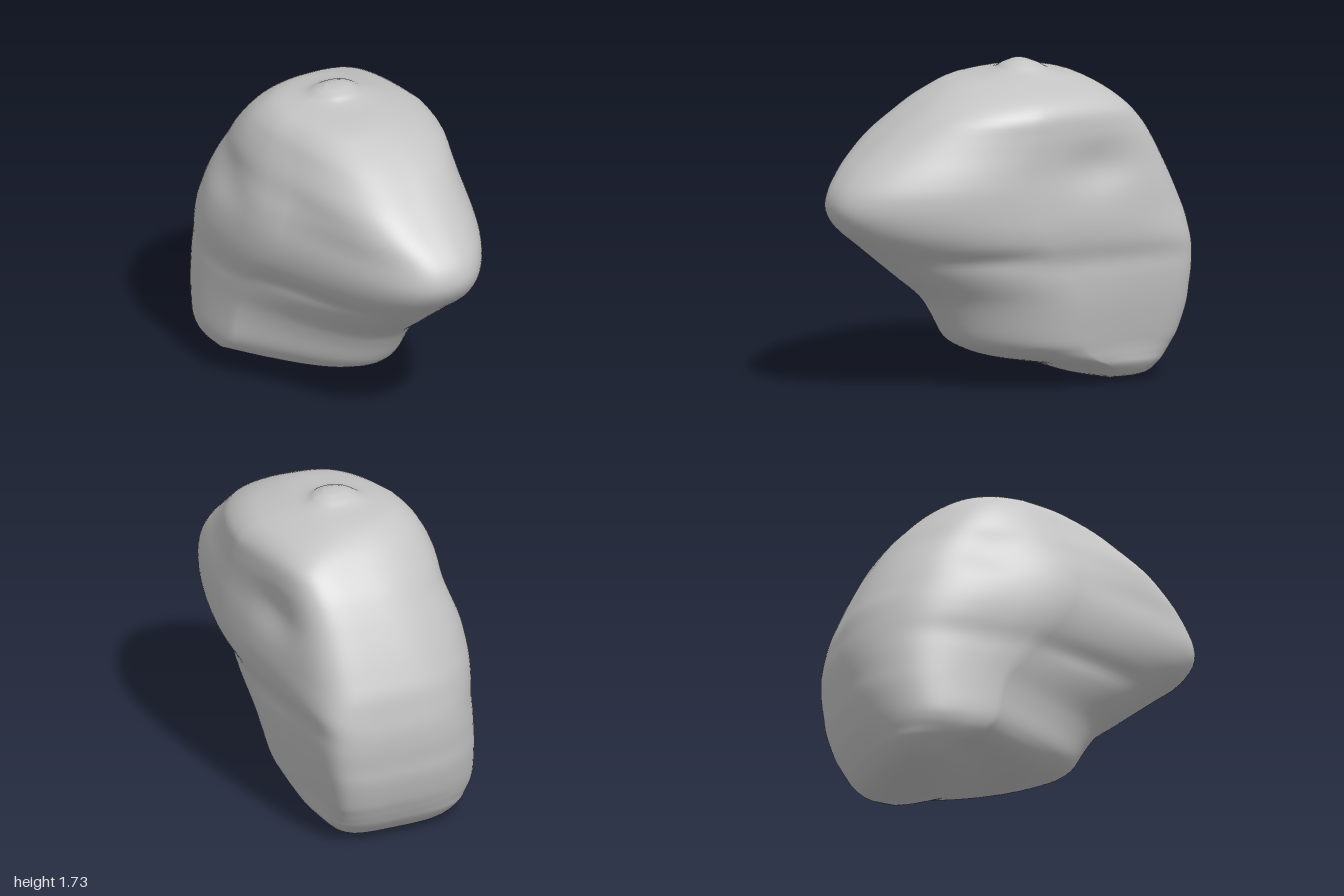
import * as THREE from 'three';

// Horizontal slices: height, front z, back z, min x, max x
const SLICES = [
  [0, -0.5, -0.72, -0.25, 0.16], [0.035, -0.37, -0.8, -0.37, 0.28], [0.1, -0.18, -0.86, -0.45, 0.35],
  [0.15, 0.06, -0.89, -0.49, 0.375], [0.2, 0.2, -0.915, -0.515, 0.39], [0.27, 0.31, -0.945, -0.525, 0.41],
  [0.4, 0.39, -0.98, -0.525, 0.44], [0.5, 0.46, -0.99, -0.525, 0.46], [0.6, 0.58, -1, -0.525, 0.475],
  [0.7, 0.7, -1, -0.525, 0.485], [0.8, 0.82, -0.985, -0.54, 0.52], [0.9, 0.94, -0.965, -0.545, 0.54],
  [1.0, 1.0, -0.925, -0.54, 0.545], [1.1, 0.985, -0.88, -0.53, 0.545], [1.2, 0.91, -0.83, -0.51, 0.54],
  [1.3, 0.8, -0.775, -0.475, 0.535], [1.4, 0.68, -0.71, -0.445, 0.53], [1.5, 0.54, -0.62, -0.405, 0.515],
  [1.58, 0.4, -0.53, -0.36, 0.44], [1.64, 0.25, -0.42, -0.28, 0.28], [1.67, 0.03, -0.28, -0.14, 0.19],
  [1.7, -0.03, -0.22, -0.08, 0.14], [1.72, -0.08, -0.17, -0.03, 0.09],
];
const STEPS = 4, SEGMENTS = 96;
const { clamp, lerp, smoothstep } = THREE.MathUtils;

function sliceAt(t) {
  const i = Math.min(Math.floor(t), SLICES.length - 2), f = t - i;
  const row = (k) => SLICES[clamp(k, 0, SLICES.length - 1)];
  return SLICES[0].map((_, c) => {
    const [p0, p1, p2, p3] = [-1, 0, 1, 2].map((o) => row(i + o)[c]);
    const m1 = (p2 - p0) / 2, m2 = (p3 - p1) / 2, d = p2 - p1;
    return p1 + f * (m1 + f * (3 * d - 2 * m1 - m2 + f * (m1 + m2 - 2 * d)));
  });
}

const bell = (v, centre, width) => Math.exp(-(((v - centre) / width) ** 2));
const power = (v, e) => Math.sign(v) * Math.abs(v) ** e;

// Corner roundness: square back, wedge-shaped lower front, boxier upper front on -x
function roundness(y, isFront, isLeft) {
  const crown = smoothstep(y, 1.5, 1.68);
  if (!isFront && isLeft) return lerp(0.5, 0.62, smoothstep(y, 0.7, 0.95)) + 0.25 * crown;
  if (!isFront) return lerp(0.62, 0.72, smoothstep(y, 1.0, 1.45)) + 0.15 * crown;
  if (isLeft) return lerp(1.0, 0.82, smoothstep(y, 0.4, 0.9)) + 0.04 * smoothstep(y, 1.1, 1.4);
  return lerp(1.05, 0.8, smoothstep(y, 0.35, 0.85)) - 0.18 * smoothstep(y, 1.05, 1.35) + 0.2 * crown;
}

// One point of the rounded, front-tapered slice outline
function surfacePoint([y, front, back, minX, maxX], angle) {
  const c = Math.cos(angle), q = Math.sin(angle);
  const e = roundness(y, c > 0, q > 0);
  const s = power(c, e), w = power(q, e);
  const size = Math.min(1, (front - back) / 1.2);
  const upper = smoothstep(y, 1.1, 1.4);
  const z = (front + back) / 2 + (s * (front - back)) / 2;
  const taper = 1 - lerp(0.3, 0.2, upper) * Math.max(0, s) ** 0.9;
  const lean = s > 0 ? lerp(0.08, 0.03, upper) * (1 - (1 - s) ** 3) : 0.08 * s + 0.15 * s ** 4;
  const x = (minX + maxX) / 2 + (w * taper * (maxX - minX)) / 2 + size ** 2 * (lean + 0.01);
  // side hollows and the crease below the snout
  const hollow = 0.04 * bell(y, 1.2, 0.13) * bell(z, -0.36, 0.22);
  const crease = 0.02 * bell(y, 0.74, 0.05) * smoothstep(z, -0.2, 0.25) * (1 - smoothstep(z, 0.5, 0.75));
  return [x - w * (hollow + crease), y, z];
}

function bodyGeometry() {
  const positions = [], index = [];
  const rings = (SLICES.length - 1) * STEPS + 1;
  for (let i = 0; i < rings; i++) {
    const slice = sliceAt(i / STEPS);
    for (let j = 0; j < SEGMENTS; j++) positions.push(...surfacePoint(slice, (j / SEGMENTS) * Math.PI * 2));
  }
  for (let i = 0; i < rings - 1; i++) {
    for (let j = 0; j < SEGMENTS; j++) {
      const k = (j + 1) % SEGMENTS;
      const a = i * SEGMENTS + j, b = i * SEGMENTS + k;
      index.push(a, b, b + SEGMENTS, a, b + SEGMENTS, a + SEGMENTS);
    }
  }
  // close base and crown
  const base = rings * SEGMENTS, last = (rings - 1) * SEGMENTS;
  positions.push(-0.045, 0, -0.61, 0.03, 1.725, -0.125);
  for (let j = 0; j < SEGMENTS; j++) {
    const k = (j + 1) % SEGMENTS;
    index.push(base, k, j, base + 1, last + j, last + k);
  }
  const geometry = new THREE.BufferGeometry();
  geometry.setAttribute('position', new THREE.Float32BufferAttribute(positions, 3));
  geometry.setIndex(index);
  geometry.computeVertexNormals();
  return geometry;
}

export function createModel() {
  const group = new THREE.Group();
  group.name = 'boulder';
  const stone = new THREE.MeshStandardMaterial({ color: 0xc4c4c4 });
  stone.name = 'grey stone';
  const body = new THREE.Mesh(bodyGeometry(), stone);
  body.name = 'boulderBody';
  group.add(body);
  return group;
}
